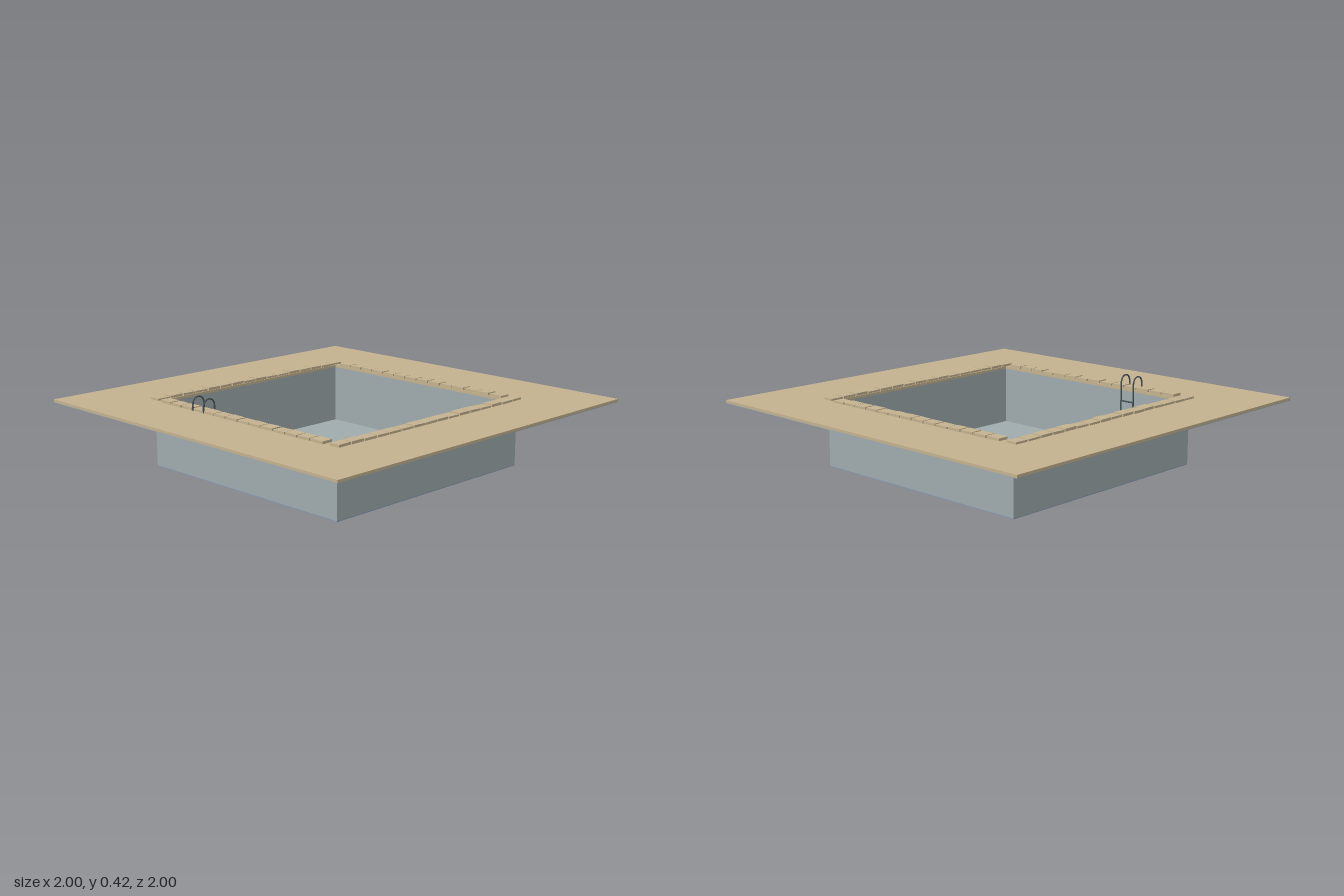
import * as THREE from 'three';

export function createModel() {
  const root = new THREE.Group();
  root.name = 'swimmingPool';

  const mat = (name, color) => {
    const m = new THREE.MeshStandardMaterial({ color });
    m.name = name;
    return m;
  };
  const sand = mat('sandstone', 0xc4b28f);
  const plaster = mat('greyPlaster', 0x9fabad);
  const slate = mat('blueUnderside', 0x8799b5);
  const blue = mat('laneBlue', 0x39669a);
  const steel = mat('darkSteel', 0x465055);
  const leafColor = mat('leafOrange', 0xdba860);
  const pale = mat('drainRim', 0xb9bfc0);

  const add = (name, geo, material, x = 0, y = 0, z = 0, parent = root) => {
    const m = new THREE.Mesh(geo, material);
    m.name = name;
    m.position.set(x, y, z);
    parent.add(m);
    return m;
  };
  const group = (name) => {
    const g = new THREE.Group();
    g.name = name;
    root.add(g);
    return g;
  };
  const square = (Type, h) => new Type([[-h, -h], [h, -h], [h, h], [-h, h]].map(([x, y]) => new THREE.Vector2(x, y)));

  // Square frame lying flat, with its base at y = 0
  const frame = (outer, inner, height) => {
    const s = square(THREE.Shape, outer);
    s.holes.push(square(THREE.Path, inner));
    return new THREE.ExtrudeGeometry(s, { depth: height, bevelEnabled: false }).rotateX(-Math.PI / 2);
  };

  let seed = 11;
  const rand = () => {
    seed = (seed * 16807) % 2147483647;
    return seed / 2147483647;
  };
  const jitter = (a) => (rand() * 2 - 1) * a;

  // Deck, with a grey lining below
  add('deck', frame(1, 0.6, 0.013), sand, 0, 0.333, 0);
  add('deckUnderside', frame(1, 0.6, 0.003), plaster, 0, 0.33, 0);

  // Basin
  add('basinWalls', frame(0.64, 0.6, 0.326), plaster, 0, 0.004, 0);
  add('basinFloor', new THREE.BoxGeometry(1.2, 0.026, 1.2), plaster, 0, 0.017, 0);
  add('basinUnderside', new THREE.BoxGeometry(1.28, 0.004, 1.28), slate, 0, 0.002, 0);

  // Lane line in two halves, with a round drain between
  for (const [z0, z1] of [[-0.445, -0.035], [0.03, 0.44]]) {
    add('laneLine', new THREE.BoxGeometry(0.042, 0.003, z1 - z0), blue, 0, 0.0315, (z0 + z1) / 2);
  }
  add('drainCover', new THREE.CylinderGeometry(0.026, 0.026, 0.004, 20), plaster, 0, 0.032, 0);
  add('drainRim', new THREE.TorusGeometry(0.027, 0.002, 6, 24).rotateX(Math.PI / 2), pale, 0, 0.033, 0);

  // Coping stones, each slightly uneven
  const coping = group('coping');
  const stone = (x, z, w, d) => {
    const h = 0.013 + jitter(0.002);
    const m = add('copingStone', new THREE.BoxGeometry(w + jitter(0.002), h, d + jitter(0.002)), sand,
      x + jitter(0.001), 0.3445 + h / 2, z + jitter(0.002), coping);
    m.rotation.set(jitter(0.02), jitter(0.025), jitter(0.02));
  };
  for (const side of [-1, 1]) {
    for (let i = 0; i < 16; i++) stone((i - 7.5) * 0.0817, side * 0.634, 0.075, 0.058);
    for (let i = 0; i < 14; i++) stone(side * 0.632, (i - 6.5) * 0.0818, 0.058, 0.075);
  }

  // Ladder: two hooped rails joined by rungs
  const ladder = group('ladder');
  const points = [[-0.66, 0.346], [-0.66, 0.375]];
  for (let i = 1; i < 8; i++) {
    const a = Math.PI * (1 - i / 8);
    points.push([-0.626 + 0.034 * Math.cos(a), 0.378 + 0.034 * Math.sin(a)]);
  }
  points.push([-0.592, 0.375], [-0.592, 0.33], [-0.592, 0.2], [-0.592, 0.09]);
  const path = new THREE.CatmullRomCurve3(points.map(([x, y]) => new THREE.Vector3(x, y, 0)));
  for (const z of [-0.32, -0.24]) {
    add('ladderRail', new THREE.TubeGeometry(path, 60, 0.004, 8), steel, 0, 0, z, ladder);
    for (const [x, y] of [points[0], points[points.length - 1]]) {
      add('railCap', new THREE.SphereGeometry(0.004, 8, 6), steel, x, y, z, ladder);
    }
  }
  for (const y of [0.12, 0.2, 0.28]) {
    add('ladderRung', new THREE.BoxGeometry(0.014, 0.005, 0.08), steel, -0.589, y, -0.28, ladder);
  }

  // Fallen leaves on the floor
  const leaves = group('leaves');
  const leafShape = new THREE.Shape();
  leafShape.moveTo(-0.011, 0);
  leafShape.quadraticCurveTo(0, 0.009, 0.011, 0);
  leafShape.quadraticCurveTo(0, -0.009, -0.011, 0);
  const leafGeo = new THREE.ExtrudeGeometry(leafShape, { depth: 0.002, bevelEnabled: false, curveSegments: 4 })
    .rotateX(-Math.PI / 2);
  const spots = [[-0.42, -0.46], [-0.23, -0.475], [0.34, -0.27], [0.05, -0.215],
    [-0.15, -0.15], [-0.08, 0.02], [0.27, 0.105], [0.06, 0.43]];
  for (const [x, z] of spots) {
    add('leaf', leafGeo, leafColor, x, 0.0305, z, leaves).rotation.y = jitter(0.6);
  }

  return root;
}
